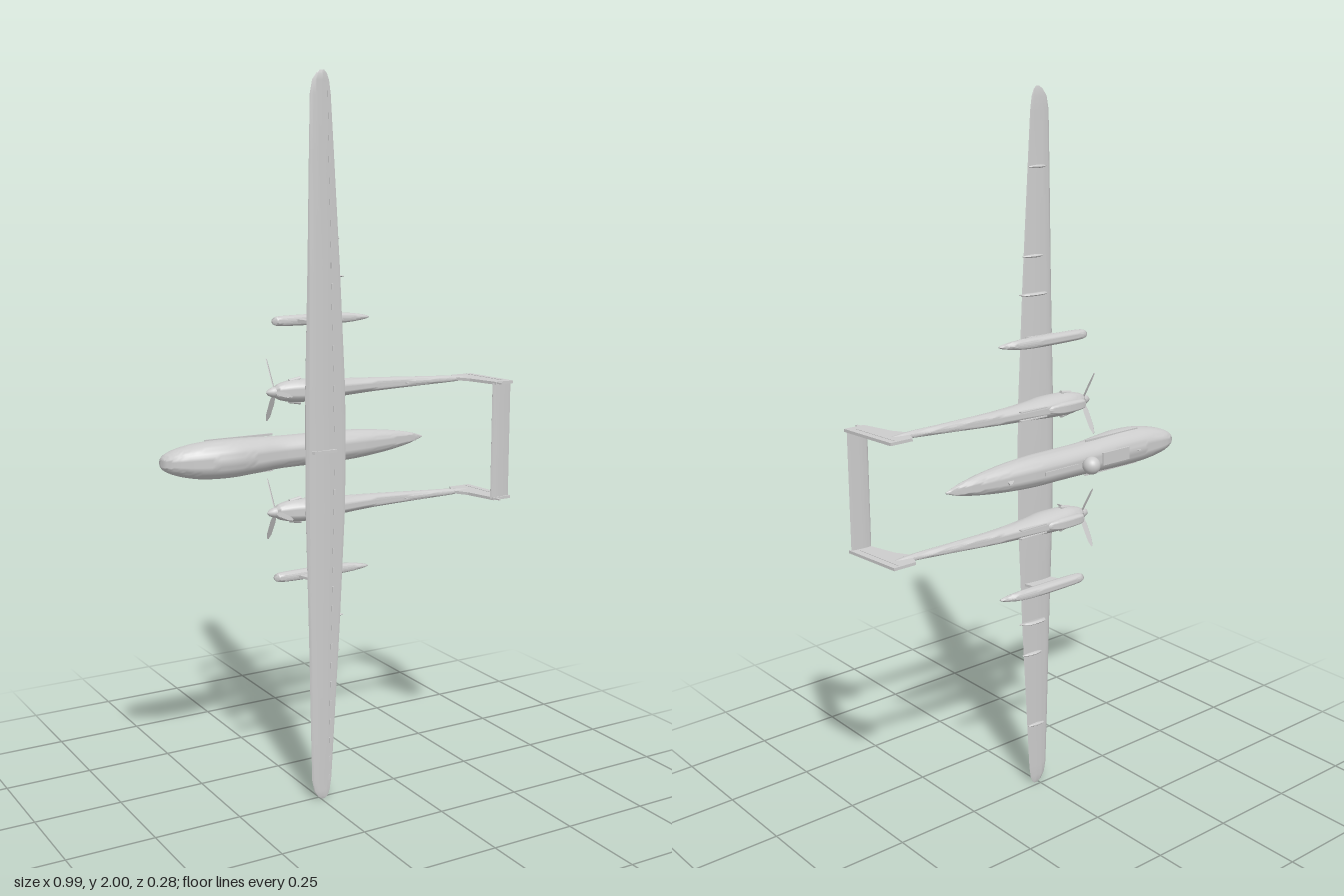
import * as THREE from 'three';
import { toCreasedNormals } from 'three/addons/utils/BufferGeometryUtils.js';

const grey = new THREE.MeshStandardMaterial({ color: 0xcccccc, side: THREE.DoubleSide });

function add(parent, name, geometry, x = 0, y = 0, z = 0) {
  const mesh = new THREE.Mesh(geometry, grey);
  mesh.name = name;
  mesh.position.set(x, y, z);
  parent.add(mesh);
  return mesh;
}

// Skin a row of equal-length rings and close both ends
function skin(rings, crease = 0.7) {
  const n = rings[0].length, pos = [], idx = [];
  rings.forEach(r => r.forEach(p => pos.push(...p)));
  for (let i = 0; i < rings.length - 1; i++) {
    for (let j = 0; j < n; j++) {
      const a = i * n + j, b = i * n + (j + 1) % n;
      idx.push(a, b, a + n, b, b + n, a + n);
    }
  }
  const last = (rings.length - 1) * n;
  for (let j = 1; j < n - 1; j++) {
    idx.push(0, j + 1, j, last, last + j, last + j + 1);
  }
  const g = new THREE.BufferGeometry();
  g.setAttribute('position', new THREE.Float32BufferAttribute(pos, 3));
  g.setIndex(idx);
  return toCreasedNormals(g, crease);
}

// Streamlined body along x; stations are [x, zBottom, zTop, halfWidth]
function body(stations, steps = 40, sides = 28, power = 2) {
  const curves = [1, 2, 3].map(k => new THREE.SplineCurve(stations.map(s => new THREE.Vector2(s[0], s[k]))));
  const round = v => Math.sign(v) * Math.abs(v) ** (2 / power);
  const rings = [];
  for (let i = 0; i <= steps; i++) {
    const [b, t, w] = curves.map(c => c.getPoint(i / steps));
    const ring = [];
    for (let j = 0; j < sides; j++) {
      const a = j / sides * Math.PI * 2;
      ring.push([b.x, w.y * round(Math.cos(a)), (b.y + t.y) / 2 + (t.y - b.y) / 2 * round(Math.sin(a))]);
    }
    rings.push(ring);
  }
  return skin(rings, 1);
}

// Aerofoil surface along y; stations are [y, xLeading, xTrailing, zCentre, halfThickness]
function aerofoil(stations, sides = 24) {
  return skin(stations.map(([y, x0, x1, z, t]) => Array.from({ length: sides }, (_, j) => {
    const a = j / sides * Math.PI * 2, u = (1 + Math.sin(a)) / 2;
    return [x0 + (x1 - x0) * u, y, z + t * Math.cos(a) * (1.3 - u)];
  })));
}

// Thin plate outlined in x and z, centred on its y
function plate(points, thickness) {
  const shape = new THREE.Shape(points.map(([x, z]) => new THREE.Vector2(x, -z)));
  const g = new THREE.ExtrudeGeometry(shape, { depth: thickness, bevelEnabled: false });
  return g.translate(0, 0, -thickness / 2).rotateX(-Math.PI / 2);
}

function buildFuselage(root) {
  const g = new THREE.Group();
  g.name = 'fuselage';
  g.position.y = 1;
  root.add(g);
  add(g, 'hull', body([
    [-0.435, -0.066, -0.06, 0.003], [-0.425, -0.083, -0.038, 0.02], [-0.39, -0.094, -0.014, 0.036],
    [-0.33, -0.096, 0.008, 0.048], [-0.255, -0.096, 0.017, 0.051], [-0.17, -0.096, 0.006, 0.048],
    [-0.1, -0.096, -0.004, 0.044], [0, -0.096, -0.004, 0.043], [0.08, -0.095, -0.007, 0.043],
    [0.17, -0.088, -0.015, 0.038], [0.26, -0.077, -0.028, 0.028], [0.33, -0.067, -0.042, 0.015],
    [0.37, -0.056, -0.052, 0.002]], 72, 36, 2.2));
  // Sensor ball under the belly
  add(g, 'sensorBall', new THREE.SphereGeometry(0.025, 28, 20), -0.078, 0, -0.118);
  add(g, 'sensorMount', new THREE.CylinderGeometry(0.014, 0.014, 0.02, 20).rotateX(Math.PI / 2), -0.078, 0, -0.096);
  // Belly door, keel strip and aerials
  add(g, 'bellyDoor', new THREE.BoxGeometry(0.1, 0.036, 0.006), -0.19, 0, -0.0955);
  add(g, 'keelStrip', new THREE.BoxGeometry(0.12, 0.01, 0.004), 0.01, 0, -0.0965);
  add(g, 'noseAerial', new THREE.BoxGeometry(0.008, 0.003, 0.014), -0.278, 0, -0.097);
  add(g, 'ventralAerial', plate([[0.165, -0.08], [0.19, -0.109], [0.202, -0.109], [0.188, -0.08]], 0.004));
  add(g, 'dorsalAerial', plate([[-0.04, -0.01], [-0.02, 0.018], [0.05, 0.018], [0.06, -0.01]], 0.008));
  for (const s of [-1, 1]) {
    add(g, 'sideStrake', new THREE.BoxGeometry(0.2, 0.006, 0.003), -0.21, s * 0.049, -0.056);
  }
}

function buildWing(root) {
  const half = [[0, -0.04, 0.086, 0.001, 0.013], [0.17, -0.04, 0.083, 0.002, 0.0125], [0.5, -0.034, 0.064, 0.006, 0.009],
    [0.8, -0.03, 0.044, 0.009, 0.006], [0.94, -0.028, 0.034, 0.011, 0.0045], [0.975, -0.021, 0.029, 0.011, 0.004],
    [0.992, -0.009, 0.022, 0.012, 0.003], [1, 0.002, 0.014, 0.012, 0.001]];
  const stations = [...half.slice(1).reverse().map(s => [-s[0], ...s.slice(1)]), ...half];
  const wing = add(root, 'wing', aerofoil(stations), 0, 1, 0);
  for (const s of [-1, 1]) {
    // Control surface hinges on the upper skin
    for (let i = 0; i < 17; i++) {
      const d = 0.06 + i * 0.055;
      add(wing, 'hinge', new THREE.BoxGeometry(0.005, 0.016, 0.003), 0.047 - 0.022 * d, s * d, 0.0125);
    }
    // Fairings on the lower skin
    for (const [d, x0, x1, depth] of [[0.47, -0.01, 0.078, 0.026], [0.57, 0, 0.066, 0.016], [0.8, -0.01, 0.046, 0.014]]) {
      add(wing, 'hingeFairing', body([[x0, -0.003, 0.001, 0.001], [x0 + 0.015, -depth + 0.006, 0.004, 0.004],
        [x1 - 0.02, -depth + 0.008, 0.005, 0.004], [x1, 0.001, 0.004, 0.001]], 14, 12), 0, s * d, 0);
    }
    // Slim pod on its pylon
    const pod = new THREE.Group();
    pod.name = 'wingPod';
    pod.position.y = s * 0.353;
    wing.add(pod);
    add(pod, 'podBody', body([[-0.11, -0.056, -0.05, 0.002], [-0.1, -0.067, -0.041, 0.011], [-0.07, -0.071, -0.036, 0.014],
      [0.05, -0.071, -0.035, 0.015], [0.12, -0.065, -0.035, 0.013], [0.165, -0.053, -0.035, 0.007], [0.182, -0.044, -0.038, 0.002]], 36, 20));
    add(pod, 'podPylon', plate([[-0.03, 0.003], [-0.045, -0.045], [0.05, -0.045], [0.06, 0.003]], 0.007));
  }
}

function buildPropeller(parent) {
  const prop = new THREE.Group();
  prop.name = 'propeller';
  prop.position.set(-0.108, 0, -0.043);
  parent.add(prop);
  const spinner = new THREE.LatheGeometry([[0.014, 0], [0.013, 0.009], [0.008, 0.02], [0, 0.027]].map(p => new THREE.Vector2(...p)), 20);
  add(prop, 'spinner', spinner.rotateZ(Math.PI / 2));
  for (let i = 0; i < 3; i++) {
    const arm = new THREE.Group();
    arm.name = 'bladeArm';
    arm.rotation.x = i * Math.PI * 2 / 3;
    prop.add(arm);
    const shape = new THREE.Shape([[-0.003, 0], [-0.007, 0.035], [-0.006, 0.08], [-0.002, 0.098],
      [0.002, 0.098], [0.006, 0.08], [0.007, 0.035], [0.003, 0]].map(p => new THREE.Vector2(...p)));
    const blade = new THREE.ExtrudeGeometry(shape, { depth: 0.002, bevelEnabled: false });
    // Stand the blade along z and pitch it
    add(arm, 'blade', blade.translate(0, 0, -0.001).rotateX(Math.PI / 2).rotateZ(0.9));
  }
}

function buildBoom(root, side) {
  const g = new THREE.Group();
  g.name = side > 0 ? 'upperBoom' : 'lowerBoom';
  g.position.y = 1 + side * 0.165;
  root.add(g);
  add(g, 'boomBody', body([[-0.108, -0.057, -0.029, 0.014], [-0.095, -0.066, -0.02, 0.022], [-0.06, -0.074, -0.008, 0.03],
    [-0.02, -0.076, 0.003, 0.031], [0.03, -0.076, 0.008, 0.029], [0.08, -0.073, -0.001, 0.025], [0.2, -0.064, -0.014, 0.019],
    [0.34, -0.046, -0.011, 0.013], [0.46, -0.032, -0.006, 0.008], [0.53, -0.024, -0.012, 0.002]], 54, 24));
  buildPropeller(g);
  // Air scoop, wheel bay doors and exhausts
  add(g, 'airScoop', body([[-0.085, -0.084, -0.062, 0.012], [-0.06, -0.089, -0.055, 0.015], [0, -0.089, -0.05, 0.015], [0.05, -0.07, -0.05, 0.006]], 20, 16, 3));
  for (const s of [-1, 1]) {
    add(g, 'bayDoor', new THREE.BoxGeometry(0.09, 0.003, 0.012), 0.09, s * 0.012, -0.07);
    const pipe = add(g, 'exhaust', new THREE.CylinderGeometry(0.005, 0.006, 0.035, 12), -0.05, s * 0.03, -0.04);
    pipe.rotation.z = Math.PI / 2 + s * 0.15;
  }
  add(g, 'boomAerial', new THREE.BoxGeometry(0.006, 0.002, 0.014), 0.29, 0, -0.009);
  // Fin reaching above and below the boom, with rudder line and tip mast
  add(g, 'fin', plate([[0.445, -0.022], [0.462, -0.034], [0.474, -0.06], [0.541, -0.06], [0.559, 0.12], [0.5, 0.12], [0.476, 0.03], [0.455, -0.006]], 0.008));
  add(g, 'rudderHinge', plate([[0.521, -0.05], [0.524, -0.05], [0.538, 0.1], [0.535, 0.1]], 0.01));
  add(g, 'tipMast', plate([[0.503, 0.115], [0.507, 0.137], [0.513, 0.137], [0.515, 0.115]], 0.004));
}

export function createModel() {
  const root = new THREE.Group();
  root.name = 'aircraft';
  buildFuselage(root);
  buildWing(root);
  for (const side of [-1, 1]) buildBoom(root, side);
  // Tailplane joining the two fins
  add(root, 'tailplane', aerofoil([[-0.165, 0.494, 0.556, 0.113, 0.005], [0.165, 0.494, 0.556, 0.113, 0.005]]), 0, 1, 0);
  return root;
}
